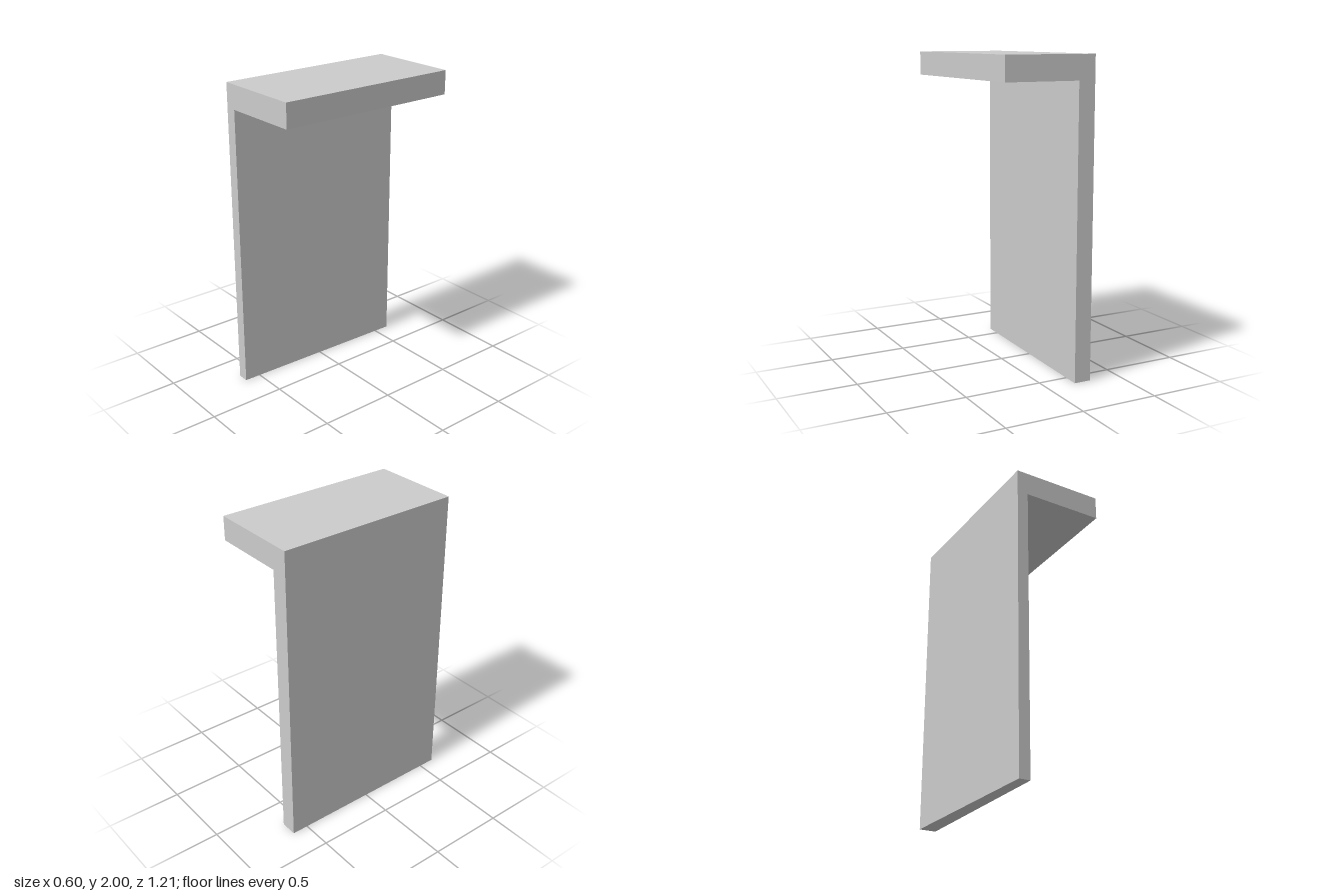
import * as THREE from 'three';

const HALF_DEPTH = 0.607;

export function createModel() {
  const group = new THREE.Group();
  group.name = 'angleBracket';

  // L-shaped section at the front end: upright panel with a thicker top ledge
  const section = new THREE.Shape([
    [-0.3, 0], [-0.228, 0], [-0.228, 1.847], [0.292, 1.847], [0.292, 2], [-0.3, 2],
  ].map(([x, y]) => new THREE.Vector2(x, y)));

  const geometry = new THREE.ExtrudeGeometry(section, { depth: 2 * HALF_DEPTH, bevelEnabled: false });
  geometry.translate(0, 0, -HALF_DEPTH);

  // Towards the back the panel grows thicker and the ledge slightly longer
  const pos = geometry.attributes.position;
  for (let i = 0; i < pos.count; i++) {
    const x = pos.getX(i);
    if (pos.getZ(i) > 0 || x < -0.25) continue;
    pos.setX(i, x < 0 ? -0.19 : 0.298);
  }
  geometry.computeVertexNormals();

  const material = new THREE.MeshStandardMaterial({ color: 0xcccccc, flatShading: true });
  const mesh = new THREE.Mesh(geometry, material);
  mesh.name = 'panelWithLedge';
  group.add(mesh);
  return group;
}
